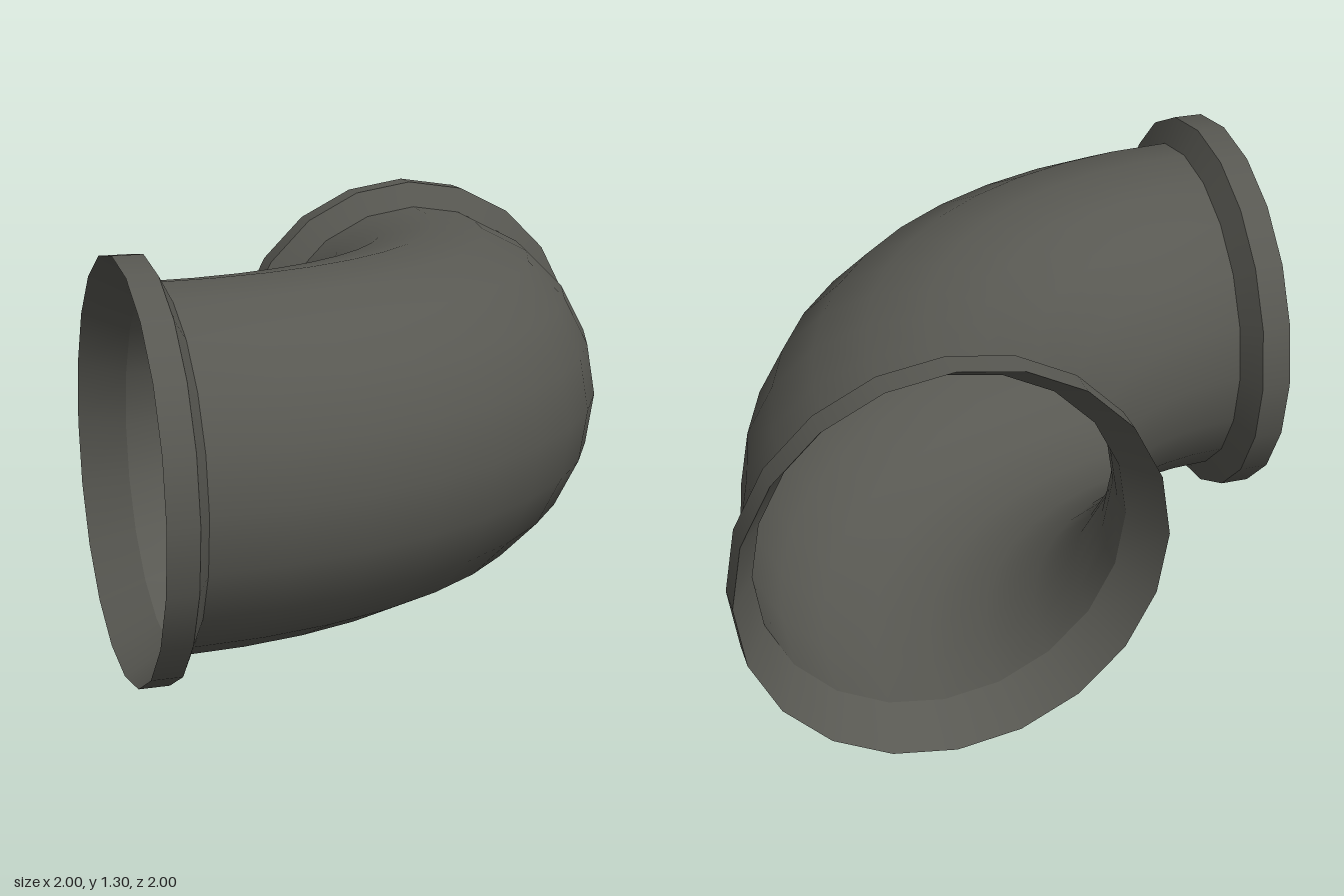
import * as THREE from 'three';

const SIDES = 20;
const PIPE_R = 0.565;
const FLANGE_R = 0.65;
const BEND_R = 1.21;
const END = 0.86; // where the bend meets the flanges

export function createModel() {
  const model = new THREE.Group();
  model.name = 'pipeElbow';
  const metal = new THREE.MeshStandardMaterial({ color: 0x585852, side: THREE.DoubleSide });
  metal.name = 'darkMetal';

  // Quarter-turn open pipe lying flat
  const bend = new THREE.Mesh(new THREE.TorusGeometry(BEND_R, PIPE_R, SIDES, 11, Math.PI / 2), metal);
  bend.name = 'bend';
  bend.rotation.x = Math.PI / 2;
  bend.position.set(-END, FLANGE_R, -END);
  model.add(bend);

  // Flange rings: each band is its own lathe so the edges between them stay sharp
  const bands = {
    shoulder: [[PIPE_R, 0], [FLANGE_R, 0.045]],
    rim: [[FLANGE_R, 0.045], [FLANGE_R, 0.14]],
    mouth: [[FLANGE_R, 0.14], [PIPE_R, 0]],
  };
  function addFlange(name, x, z, rotX, rotZ) {
    const flange = new THREE.Group();
    flange.name = name;
    for (const [part, profile] of Object.entries(bands)) {
      const points = profile.map(([r, y]) => new THREE.Vector2(r, y));
      const mesh = new THREE.Mesh(new THREE.LatheGeometry(points, SIDES), metal);
      mesh.name = part;
      flange.add(mesh);
    }
    flange.position.set(x, FLANGE_R, z);
    flange.rotation.set(rotX, 0, rotZ);
    model.add(flange);
  }
  addFlange('rightFlange', -END, BEND_R - END, 0, Math.PI / 2);
  addFlange('backFlange', BEND_R - END, -END, -Math.PI / 2, 0);

  return model;
}
